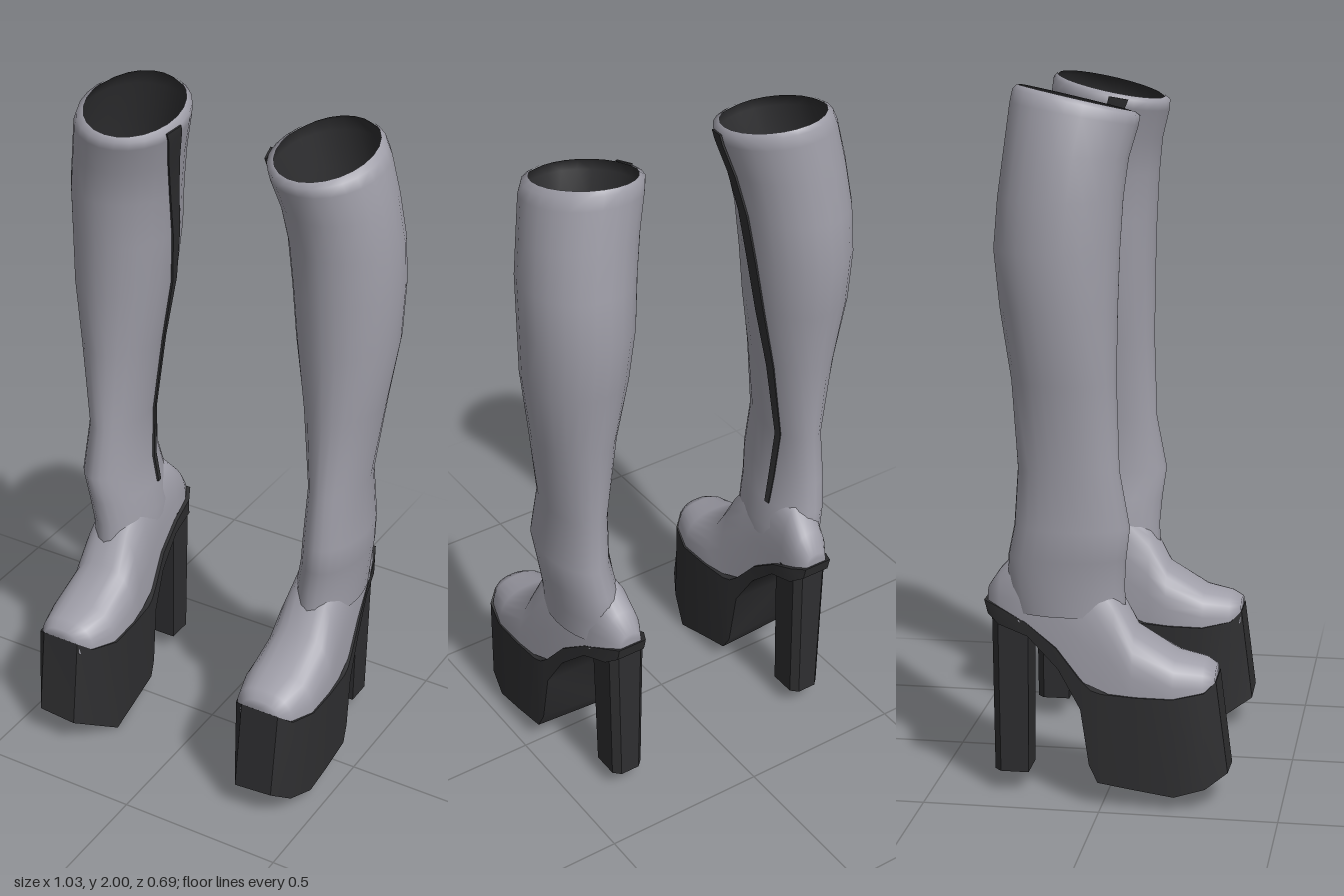
import * as THREE from 'three';
import { toCreasedNormals } from 'three/addons/utils/BufferGeometryUtils.js';

const leather = new THREE.MeshStandardMaterial({ color: 0x9f9ea8 });
leather.name = 'grey leather';
const rubber = new THREE.MeshStandardMaterial({ color: 0x2e2e30 });
rubber.name = 'black rubber';

// Skin closed rings of equal length; faces are turned outward (or inward) by signed volume
function loft(rings, { caps = true, inward = false, crease = 0 } = {}) {
  const n = rings[0].length;
  const pts = rings.flat();
  const idx = [];
  for (let r = 0; r < rings.length - 1; r++) {
    for (let i = 0; i < n; i++) {
      const a = r * n + i, b = r * n + (i + 1) % n;
      idx.push(a, b, a + n, b, b + n, a + n);
    }
  }
  if (caps) {
    [0, rings.length - 1].forEach((r) => {
      const c = pts.length;
      const mid = new THREE.Vector3();
      rings[r].forEach((p) => mid.addScaledVector(p, 1 / n));
      pts.push(mid);
      for (let i = 0; i < n; i++) {
        const a = r * n + i, b = r * n + (i + 1) % n;
        if (r) idx.push(a, b, c); else idx.push(b, a, c);
      }
    });
  }
  const centre = new THREE.Box3().setFromPoints(pts).getCenter(new THREE.Vector3());
  const q = pts.map((p) => p.clone().sub(centre));
  let volume = 0;
  for (let i = 0; i < idx.length; i += 3) {
    volume += q[idx[i]].dot(q[idx[i + 1]].clone().cross(q[idx[i + 2]]));
  }
  if (volume < 0 !== inward) {
    for (let i = 0; i < idx.length; i += 3) [idx[i], idx[i + 1]] = [idx[i + 1], idx[i]];
  }
  const geo = new THREE.BufferGeometry().setFromPoints(pts);
  geo.setIndex(idx);
  geo.computeVertexNormals();
  return crease ? toCreasedNormals(geo, crease) : geo;
}

// Shaft stations: y, inner x, outer x, back z, front z, back-to-front tilt, zip angle
const SHAFT = [
  [0.54, 0.265, 0.44, -0.27, 0.055, 0, 0.1],
  [0.62, 0.265, 0.445, -0.28, 0.052, 0, 0.15],
  [0.70, 0.28, 0.455, -0.275, 0.058, 0, 0.25],
  [0.79, 0.292, 0.465, -0.255, 0.07, 0, 0.35],
  [0.95, 0.295, 0.45, -0.245, 0.04, 0, 0.45],
  [1.20, 0.26, 0.485, -0.26, 0.032, 0, 0.35],
  [1.40, 0.225, 0.513, -0.29, 0.035, 0, 0.2],
  [1.56, 0.208, 0.516, -0.307, 0.04, 0, 0.05],
  [1.70, 0.195, 0.513, -0.296, 0.048, 0, -0.05],
  [1.82, 0.175, 0.495, -0.28, 0.06, 0.015, -0.15],
  [1.92, 0.15, 0.474, -0.268, 0.083, 0.03, -0.22],
  [1.95, 0.146, 0.46, -0.262, 0.086, 0.035, -0.25],
  [1.962, 0.165, 0.44, -0.25, 0.07, 0.035, -0.25],
];

// Point on a shaft station at angle t, grown outward by d
function shaftPoint([y, xi, xo, zb, zf, tilt], t, d, s) {
  const c = Math.cos(t), n = Math.sin(t);
  return new THREE.Vector3(
    s * ((xi + xo) / 2 + ((xo - xi) / 2 + d) * c),
    y - tilt * n + tilt * 0.3 * c,
    (zb + zf) / 2 + ((zf - zb) / 2 + d) * n);
}

const shaftRings = (d, s) => SHAFT.map((st) =>
  Array.from({ length: 24 }, (_, i) => shaftPoint(st, (i / 24) * Math.PI * 2, d, s)));

// Thin strip following the inner side of the shaft
const zipRings = (s) => SHAFT.slice(2, 12).map((st, i) => {
  const w = 0.05 + 0.012 * i;
  const t = Math.PI + st[6];
  return [[t - w, 0.001], [t + w, 0.001], [t + w, 0.007], [t - w, 0.007]]
    .map(([a, d]) => shaftPoint(st, a, d, s));
});

// Foot stations: z, bottom y, top y, inner x, outer x
const FOOT = [
  [-0.337, 0.555, 0.60, 0.295, 0.365],
  [-0.30, 0.54, 0.655, 0.275, 0.39],
  [-0.24, 0.515, 0.72, 0.27, 0.41],
  [-0.13, 0.44, 0.74, 0.262, 0.43],
  [-0.05, 0.355, 0.70, 0.25, 0.442],
  [0.03, 0.325, 0.61, 0.24, 0.45],
  [0.085, 0.32, 0.50, 0.23, 0.455],
  [0.20, 0.32, 0.428, 0.226, 0.457],
  [0.28, 0.32, 0.412, 0.25, 0.435],
  [0.312, 0.33, 0.395, 0.28, 0.41],
];

// Domed cross-section with a flat base
const footRings = (s) => FOOT.map(([z, y0, y1, xi, xo]) =>
  Array.from({ length: 15 }, (_, i) => {
    const a = (i / 14) * Math.PI;
    const c = Math.cos(a);
    return new THREE.Vector3(
      s * ((xi + xo) / 2 + ((xo - xi) / 2) * Math.sign(c) * Math.abs(c) ** 0.75),
      y0 + (y1 - y0) * Math.sin(a) ** 0.75, z);
  }));

// Platform stations: top z, top y, bottom z, bottom y inner, bottom y outer, inner x, outer x
const SOLE = [
  [-0.345, 0.565, -0.335, 0.525, 0.525, 0.285, 0.375],
  [-0.30, 0.55, -0.30, 0.50, 0.50, 0.262, 0.395],
  [-0.22, 0.515, -0.215, 0.475, 0.475, 0.258, 0.415],
  [-0.13, 0.45, -0.125, 0.39, 0.39, 0.252, 0.436],
  [-0.06, 0.365, -0.06, 0.28, 0.28, 0.24, 0.448],
  [-0.03, 0.338, -0.035, 0.10, 0.12, 0.235, 0.453],
  [0.0, 0.33, -0.01, 0.055, 0.07, 0.23, 0.457],
  [0.10, 0.325, 0.10, 0.03, 0.055, 0.223, 0.461],
  [0.20, 0.325, 0.205, 0, 0.04, 0.22, 0.461],
  [0.285, 0.34, 0.29, 0.055, 0.06, 0.25, 0.44],
  [0.315, 0.365, 0.35, 0.09, 0.10, 0.285, 0.405],
];

const soleRings = (s) => SOLE.map(([zt, yt, zb, yi, yo, xi, xo]) => [
  [xi, yi, zb], [xo, yo, zb], [xo, yt, zt], [xi, yt, zt],
].map(([x, y, z]) => new THREE.Vector3(s * x, y, z)));

// Block heel: slightly narrower at the ground
const heelRings = (s) => [
  [0.06, 0.278, 0.378, -0.322, -0.222],
  [0.53, 0.27, 0.385, -0.325, -0.218],
].map(([y, xi, xo, zb, zf]) => {
  const k = 0.02;
  return [[xi, zb + k], [xi + k, zb], [xo - k, zb], [xo, zb + k], [xo, zf], [xi, zf]]
    .map(([x, z]) => new THREE.Vector3(s * x, y, z));
});

function createBoot(name, s) {
  const boot = new THREE.Group();
  boot.name = name;
  const add = (part, geo, mat) => {
    const mesh = new THREE.Mesh(geo, mat);
    mesh.name = part;
    boot.add(mesh);
  };
  add('shaft', loft(shaftRings(0, s), { caps: false }), leather);
  add('lining', loft(shaftRings(-0.006, s), { caps: false, inward: true }), rubber);
  add('zip', loft(zipRings(s), { crease: 0.6 }), rubber);
  add('foot', loft(footRings(s), { crease: 1.1 }), leather);
  add('platformSole', loft(soleRings(s), { crease: 0.7 }), rubber);
  add('heel', loft(heelRings(s), { crease: 0.5 }), rubber);
  return boot;
}

export function createModel() {
  const group = new THREE.Group();
  group.name = 'platformBoots';
  group.add(createBoot('leftBoot', 1), createBoot('rightBoot', -1));
  return group;
}
